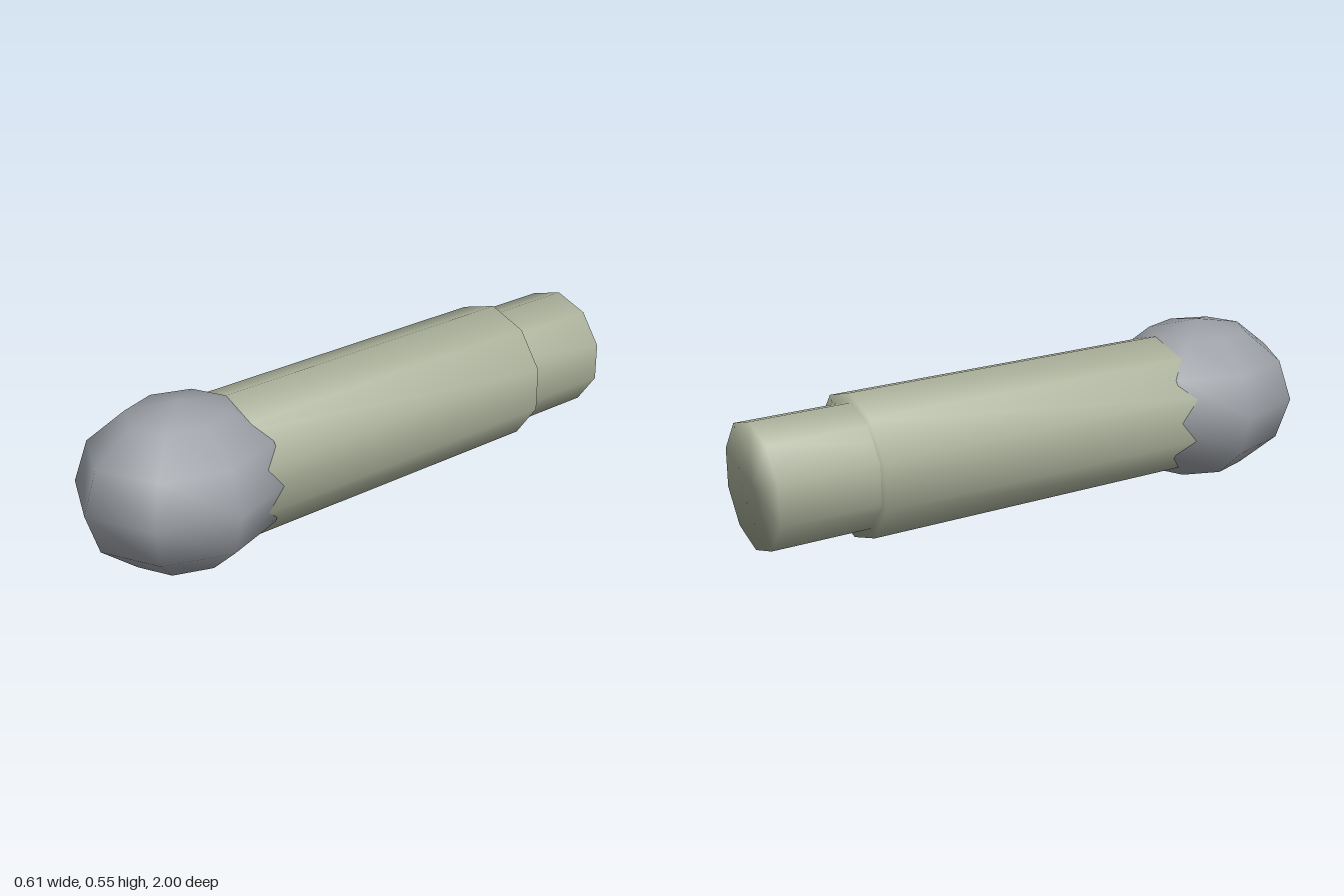
import * as THREE from 'three';
import { mergeVertices } from 'three/addons/utils/BufferGeometryUtils.js';

const AXIS_Y = 0.276;

// Weld the seams so normals run smoothly over every edge, caps included
function smooth(geometry) {
  geometry.deleteAttribute('normal');
  geometry.deleteAttribute('uv');
  const welded = mergeVertices(geometry, 1e-4);
  welded.computeVertexNormals();
  return welded;
}

// Ten-sided capped rod lying along z
function rod(name, radius, zBack, zFront, material) {
  const geometry = new THREE.CylinderGeometry(radius, radius, zFront - zBack, 10);
  geometry.rotateX(Math.PI / 2);
  const mesh = new THREE.Mesh(smooth(geometry), material);
  mesh.name = name;
  mesh.position.set(0, AXIS_Y, (zBack + zFront) / 2);
  return mesh;
}

export function createModel() {
  const group = new THREE.Group();
  group.name = 'roundTippedRod';
  const shaftMaterial = new THREE.MeshStandardMaterial({ color: 0xa8ae98 });
  const tipMaterial = new THREE.MeshStandardMaterial({ color: 0x9b9fa5 });

  // Thick sleeve and the thinner stub behind it
  group.add(rod('sleeve', 0.237, -0.67, 0.6, shaftMaterial));
  group.add(rod('rearStub', 0.205, -1, -0.15, shaftMaterial));

  // Low-poly egg-shaped tip
  const ball = new THREE.SphereGeometry(1, 8, 6);
  ball.scale(0.305, 0.274, 0.35);
  const tip = new THREE.Mesh(smooth(ball), tipMaterial);
  tip.name = 'tip';
  tip.position.set(0, AXIS_Y, 0.65);
  group.add(tip);

  return group;
}
